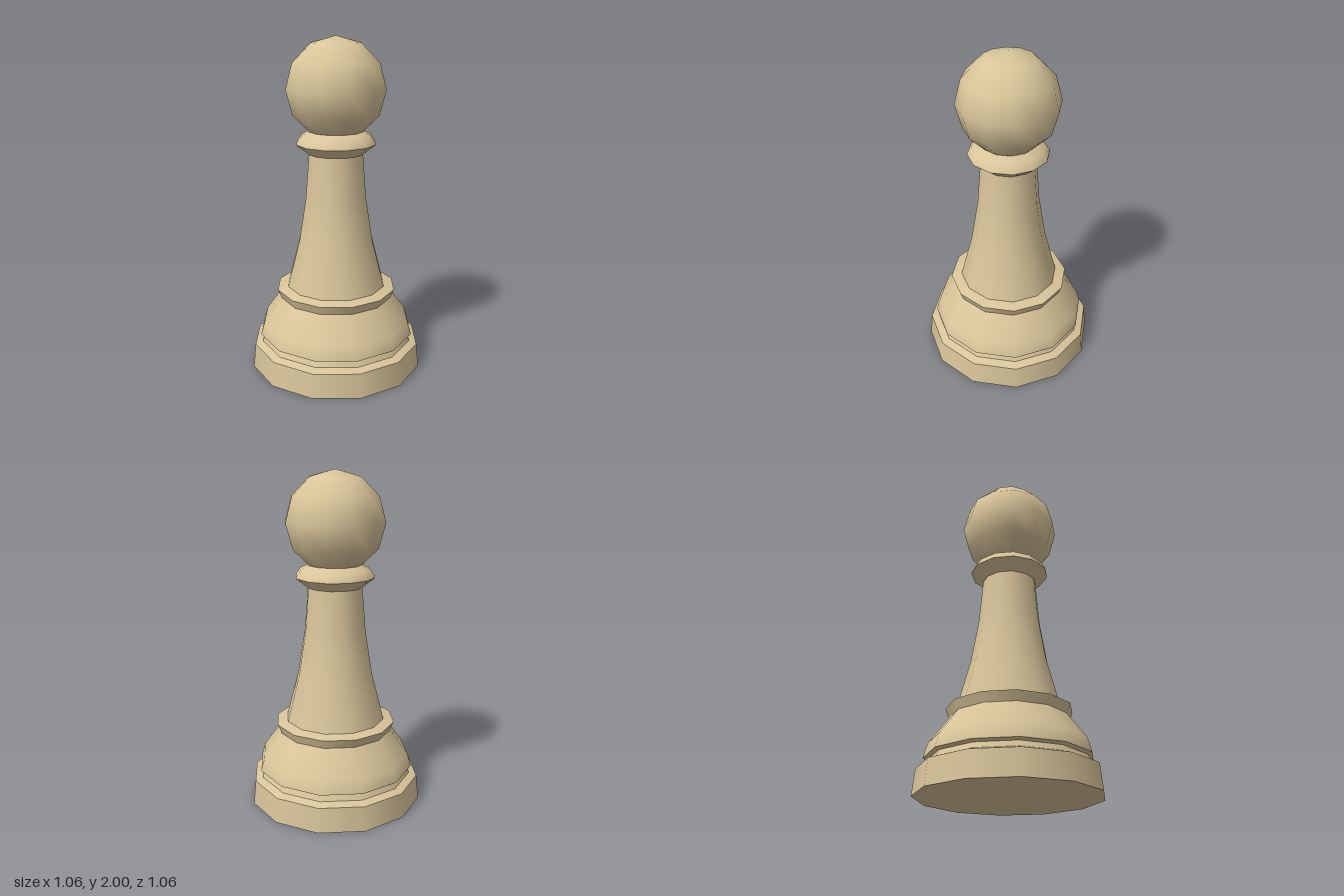
import * as THREE from 'three';

const SIDES = 12;

export function createModel() {
  const model = new THREE.Group();
  model.name = 'chessPawn';
  const wood = new THREE.MeshStandardMaterial({ color: 0xd9c59a });
  wood.name = 'paleWood';

  // Each part is a group of turned bands; a crease lies between bands, each band is smooth.
  function turned(name, bands) {
    const part = new THREE.Group();
    part.name = name;
    bands.forEach((band, i) => {
      const points = band.map(([r, y]) => new THREE.Vector2(r, y));
      const mesh = new THREE.Mesh(new THREE.LatheGeometry(points, SIDES), wood);
      mesh.name = `${name}Band${i + 1}`;
      part.add(mesh);
    });
    model.add(part);
  }

  // Foot: underside, tapered wall and top ledge
  turned('foot', [
    [[0, 0], [0.53, 0]],
    [[0.53, 0], [0.515, 0.148]],
    [[0.515, 0.148], [0.468, 0.165]],
  ]);

  // Narrow groove between foot and bell
  turned('groove', [
    [[0.468, 0.165], [0.453, 0.198]],
    [[0.453, 0.198], [0.477, 0.209]],
  ]);

  // Bell-shaped lower body
  turned('bell', [
    [[0.477, 0.209], [0.477, 0.216], [0.456, 0.288], [0.344, 0.44]],
  ]);

  // Flared ring under the stem
  turned('lowerRing', [
    [[0.344, 0.44], [0.366, 0.495]],
    [[0.366, 0.495], [0.302, 0.51]],
  ]);

  // Concave tapering stem
  turned('stem', [
    [[0.302, 0.51], [0.228, 0.795], [0.185, 1.06], [0.164, 1.325]],
  ]);

  // Collar below the head
  turned('collar', [
    [[0.164, 1.325], [0.238, 1.384]],
    [[0.238, 1.384], [0.237, 1.396], [0.21, 1.432], [0.16, 1.457]],
    [[0.16, 1.457], [0, 1.457]],
  ]);

  // Ball head
  const head = new THREE.Mesh(new THREE.SphereGeometry(0.297, SIDES, SIDES / 2), wood);
  head.name = 'head';
  head.position.y = 1.703;
  model.add(head);

  return model;
}
